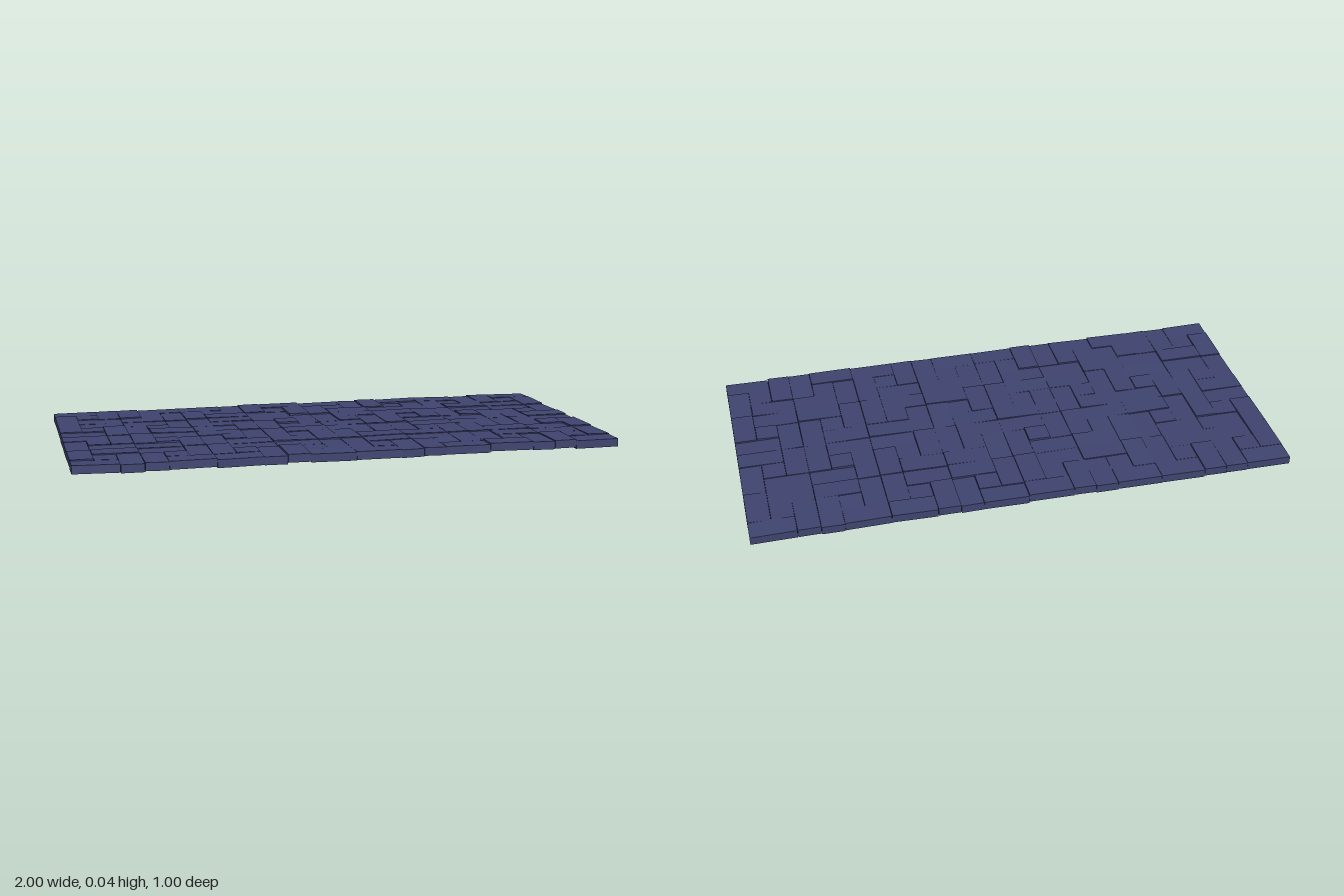
import * as THREE from 'three';

// small seeded generator
function seeded(seed) {
  return () => {
    seed = (seed * 16807) % 2147483647;
    return seed / 2147483647;
  };
}

const CELL = 1 / 12;

// stones of one 3 x 3 cell panel: [x, z, width, depth], a pinwheel around one small stone
const PANEL = [[0, 0, 2, 1], [2, 0, 1, 2], [1, 2, 2, 1], [0, 1, 1, 2], [1, 1, 1, 1]];

// hollow stone: top and four sides, underside left open
function stoneGeometry(w, d) {
  const g = new THREE.BoxGeometry(w, 0.03, d);
  const index = Array.from(g.index.array);
  index.splice(18, 6);
  g.setIndex(index);
  g.clearGroups();
  return g;
}

export function createModel() {
  const rand = seeded(4711);
  const vary = (a) => (rand() * 2 - 1) * a;
  const model = new THREE.Group();
  model.name = 'pavedFloor';
  const material = new THREE.MeshStandardMaterial({ color: 0x3f4470, flatShading: true, side: THREE.DoubleSide });

  for (let row = 0; row < 4; row++) {
    for (let col = 0; col < 8; col++) {
      const panel = new THREE.Group();
      panel.name = 'panel';
      const mirrored = (row + col) % 2 === 1;
      for (const [px, pz, pw, pd] of PANEL) {
        const x = mirrored ? 3 - px - pw : px;
        const cx = -1 + (col * 3 + x + pw / 2) * CELL;
        const cz = -0.5 + (row * 3 + pz + pd / 2) * CELL;
        const stone = new THREE.Mesh(stoneGeometry(pw * CELL - 0.001, pd * CELL - 0.001), material);
        stone.name = 'stone';
        // each stone sits a little uneven; the rows drift slightly across the width
        const tiltX = vary(0.02), tiltZ = vary(0.02);
        const sag = (Math.abs(tiltX) * pd + Math.abs(tiltZ) * pw) * CELL / 2;
        stone.rotation.set(tiltX, 0, tiltZ);
        stone.position.set(cx, 0.0195 + vary(0.0045 - sag), cz * 0.988 - 0.006 * cx);
        panel.add(stone);
      }
      model.add(panel);
    }
  }
  return model;
}
